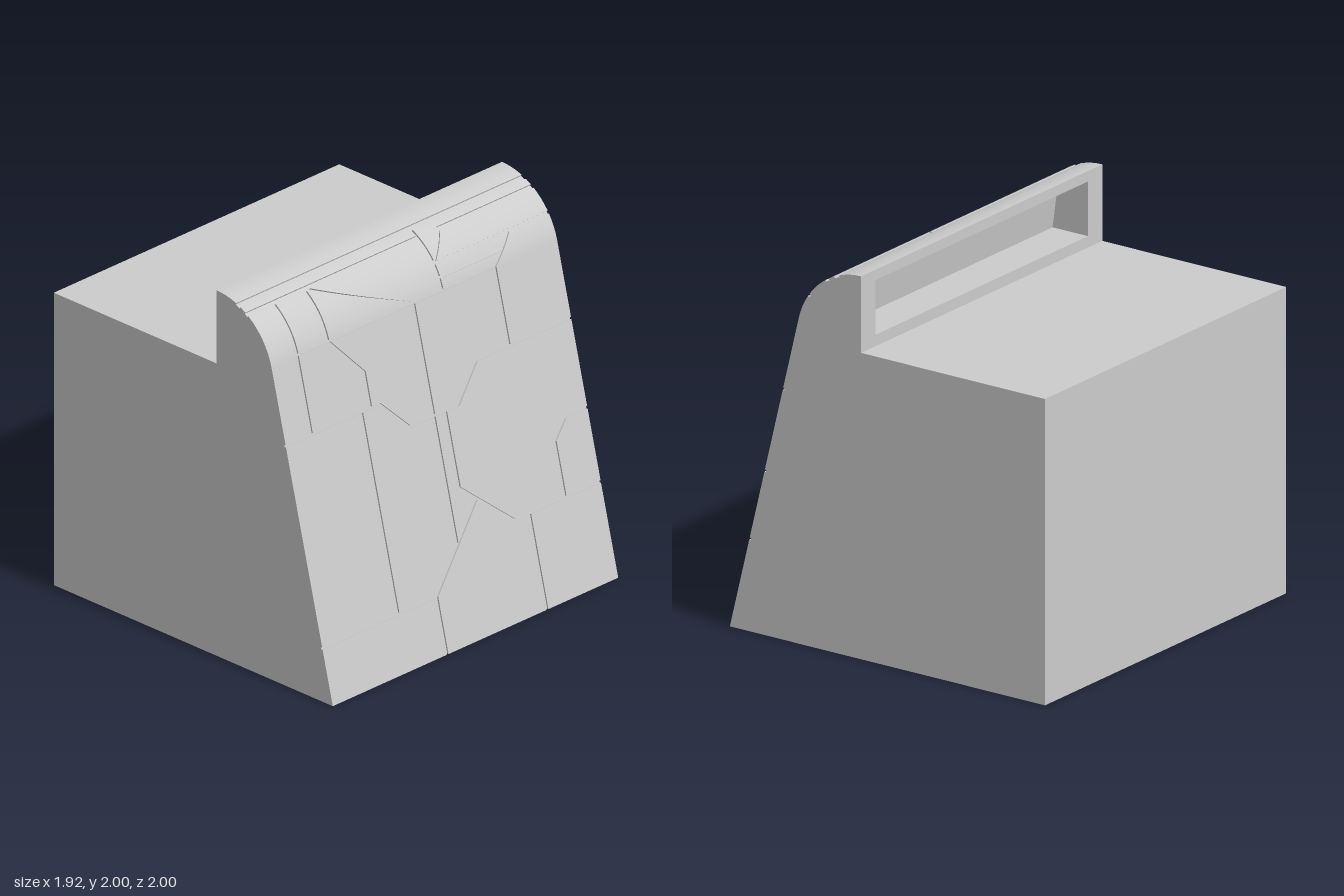
import * as THREE from 'three';

const GAP = 0.012, DEPTH = 0.009, TOL = 0.004;
// Rounded crest: arc about (CX, CY), tangent to the slope that ends at (FOOT, 0)
const CX = 0.16, CY = 1.609, R = 0.391, FOOT = 0.96, STEPS = 16;
const phi = Math.atan2(-CY, FOOT - CX) + Math.acos(R / Math.hypot(FOOT - CX, CY));
const YT = CY + R * Math.sin(phi), XT = CX + R * Math.cos(phi);

// Heights that split the curved part into facets, from top to the tangent line, then the foot
const levels = [];
for (let i = 0; i < STEPS; i++) levels.push(CY + R * Math.cos((i / STEPS) * (Math.PI / 2 - phi)));
levels.push(YT, 0);

// Outward normal and position of the sloping skin at a height
function normalAt(y) {
  if (y <= YT) return [Math.cos(phi), Math.sin(phi)];
  const c = Math.min(1, (y - CY) / R);
  return [Math.sqrt(1 - c * c), c];
}
function skin(y, depth) {
  const n = normalAt(y);
  const x = y <= YT ? FOOT + (XT - FOOT) * (y / YT) : CX + R * n[0];
  return [x - n[0] * depth, Math.max(0, y - n[1] * depth)];
}

// Groove paths as z, y pairs; each one divides a panel left by the paths before it
const grooves = [
  [1, 1.97, -1, 1.97],
  [1, 1.31, 0.34, 1.31, 0.17, 1.14, -0.17, 1.14, -0.34, 1.31, -1, 1.31],
  [-0.57, 1.31, -0.57, 1.71, -0.2, 1.71, -0.2, 1.97],
  [1, 1.94, -0.2, 1.94],
  [0.815, 1.94, 0.815, 1.31],
  [0.815, 1.71, -0.2, 1.71],
  [0.6, 1.94, 0.6, 1.71],
  [0.6, 1.94, 0, 1.71],
  [0.6, 1.71, 0.4, 1.49, 0.4, 1.31],
  [0, 1.71, 0, 1.14],
  [-0.2, 1.835, -1, 1.835],
  [-0.2, 1.835, -0.34, 1.94, -1, 1.94],
  [-0.57, 1.71, -0.72, 1.835],
  [-0.2, 1.77, -0.642, 1.77],
  [1, 0.29, 0.195, 0.29, 0.195, 0],
  [0.195, 0.29, -0.18, 0.667, -0.4, 0.485, -1, 0.485],
  [-0.18, 0.667, -0.08, 0.75, -0.08, 1.14],
  [0.465, 1.31, 0.465, 0.29],
  [0, 1.14, 0, 0.485],
  [-0.755, 0.485, -0.755, 0.77, -0.85, 0.86, -1, 0.86],
  [-0.505, 0.485, -0.505, 0],
];

// Index of a point on an outline, adding it to an edge if needed; -1 if it is not on the outline
function indexOn(outline, p) {
  const corner = outline.findIndex((q) => q.distanceTo(p) < TOL);
  if (corner >= 0) return corner;
  for (let i = 0; i < outline.length; i++) {
    const a = outline[i], b = outline[(i + 1) % outline.length];
    if (Math.abs(a.distanceTo(p) + p.distanceTo(b) - a.distanceTo(b)) > 1e-4) continue;
    outline.splice(i + 1, 0, p);
    return i + 1;
  }
  return -1;
}

// Cut the whole sheet into panel outlines, counter-clockwise in (u = -z, y)
function cutPanels() {
  let panels = [[[-1, 0], [1, 0], [1, 2], [-1, 2]].map(([u, y]) => new THREE.Vector2(u, y))];
  for (const flat of grooves) {
    const path = [];
    for (let i = 0; i < flat.length; i += 2) path.push(new THREE.Vector2(-flat[i], flat[i + 1]));
    panels = panels.flatMap((panel) => {
      const o = [...panel];
      const ends = [path[0], path[path.length - 1]];
      if (ends.some((p) => indexOn(o, p) < 0)) return [panel];
      const [s, e] = ends.map((p) => indexOn(o, p));
      const between = (i, j) => {
        const run = [];
        for (let k = i; k !== j; k = (k + 1) % o.length) run.push(o[k]);
        return run;
      };
      const inner = path.slice(1, -1);
      return [[o[s], ...inner, ...between(e, s)], [...between(s, e), o[e], ...inner.reverse()]];
    });
  }
  return panels;
}

// Pull an outline in by half a gap, except along the outer border
function inset(pts) {
  const n = pts.length;
  const edges = pts.map((a, i) => {
    const b = pts[(i + 1) % n];
    const border = (a.x === b.x && Math.abs(a.x) === 1) || (a.y === b.y && (a.y === 0 || a.y === 2));
    const d = b.clone().sub(a).normalize();
    const off = border ? 0 : GAP / 2;
    return { p: new THREE.Vector2(a.x - d.y * off, a.y + d.x * off), d };
  });
  return edges.map((e, i) => {
    const f = edges[(i + n - 1) % n];
    const turn = f.d.cross(e.d);
    if (Math.abs(turn) < 1e-6) return e.p;
    return f.p.clone().addScaledVector(f.d, e.p.clone().sub(f.p).cross(e.d) / turn);
  });
}

// Keep the part of an outline above (sign 1) or below (sign -1) a height
function clip(pts, y, sign) {
  const out = [];
  pts.forEach((a, i) => {
    const b = pts[(i + 1) % pts.length];
    const da = (a.y - y) * sign, db = (b.y - y) * sign;
    if (da >= 0) out.push(a);
    if (da * db < 0) {
      const p = a.clone().lerp(b, da / (da - db));
      p.y = y;
      out.push(p);
    }
  });
  return out;
}

// One raised panel wrapped over the skin: outer face plus side walls
function panelGeometry(outline) {
  const pos = [], nor = [];
  const at = (p, depth) => new THREE.Vector3(...skin(p.y, depth), -p.x);
  const add = (v, n) => { pos.push(...v); nor.push(...n); };
  for (let k = 0; k < levels.length - 1; k++) {
    const top = levels[k], low = levels[k + 1];
    const piece = clip(clip(outline, top, -1), low, 1);
    if (piece.length < 3 || Math.abs(THREE.ShapeUtils.area(piece)) < 1e-8) continue;
    for (const i of THREE.ShapeUtils.triangulateShape(piece, []).flat()) {
      add(at(piece[i], 0), [...normalAt(piece[i].y), 0]);
    }
    piece.forEach((a, i) => {
      const b = piece[(i + 1) % piece.length];
      const onCut = (y) => Math.abs(a.y - y) < 1e-7 && Math.abs(b.y - y) < 1e-7;
      if ((k > 0 && onCut(top)) || (low > 0 && onCut(low))) return;
      const A = at(a, 0), B = at(b, 0), C = at(b, DEPTH), D = at(a, DEPTH);
      const n = D.clone().sub(A).cross(B.clone().sub(A)).normalize();
      [A, D, B, B, D, C].forEach((v) => add(v, n));
    });
  }
  const g = new THREE.BufferGeometry();
  g.setAttribute('position', new THREE.Float32BufferAttribute(pos, 3));
  g.setAttribute('normal', new THREE.Float32BufferAttribute(nor, 3));
  return g;
}

// Solid body slice between two z values, optionally with the recess behind the crest
function bodySlice(z0, z1, recessed) {
  const pts = [[-0.96, 0], ...[...levels].reverse().map((y) => skin(y, DEPTH))];
  if (recessed) pts.push([CX, 1.945], [0.335, 1.945], [0.375, 1.66], [CX, 1.66]);
  pts.push([CX, 1.6], [-0.96, 1.6]);
  const shape = new THREE.Shape(pts.map(([x, y]) => new THREE.Vector2(x, y)));
  return new THREE.ExtrudeGeometry(shape, { depth: z1 - z0, bevelEnabled: false }).translate(0, 0, z0);
}

export function createModel() {
  const model = new THREE.Group();
  const grey = new THREE.MeshStandardMaterial({ color: 0xcccccc });
  const mesh = (geometry, name, parent) => {
    const m = new THREE.Mesh(geometry, grey);
    m.name = name;
    parent.add(m);
  };

  // Body: solid ends and a recessed middle
  const body = new THREE.Group();
  body.name = 'body';
  mesh(bodySlice(-1, -0.88, false), 'rearEnd', body);
  mesh(bodySlice(-0.88, 0.88, true), 'recessedMiddle', body);
  mesh(bodySlice(0.88, 1, false), 'frontEnd', body);

  // Panels on the sloping side, separated by grooves
  const cladding = new THREE.Group();
  cladding.name = 'slopePanels';
  cutPanels().forEach((p, i) => mesh(panelGeometry(inset(p)), `slopePanel${i + 1}`, cladding));

  model.add(body, cladding);
  return model;
}
